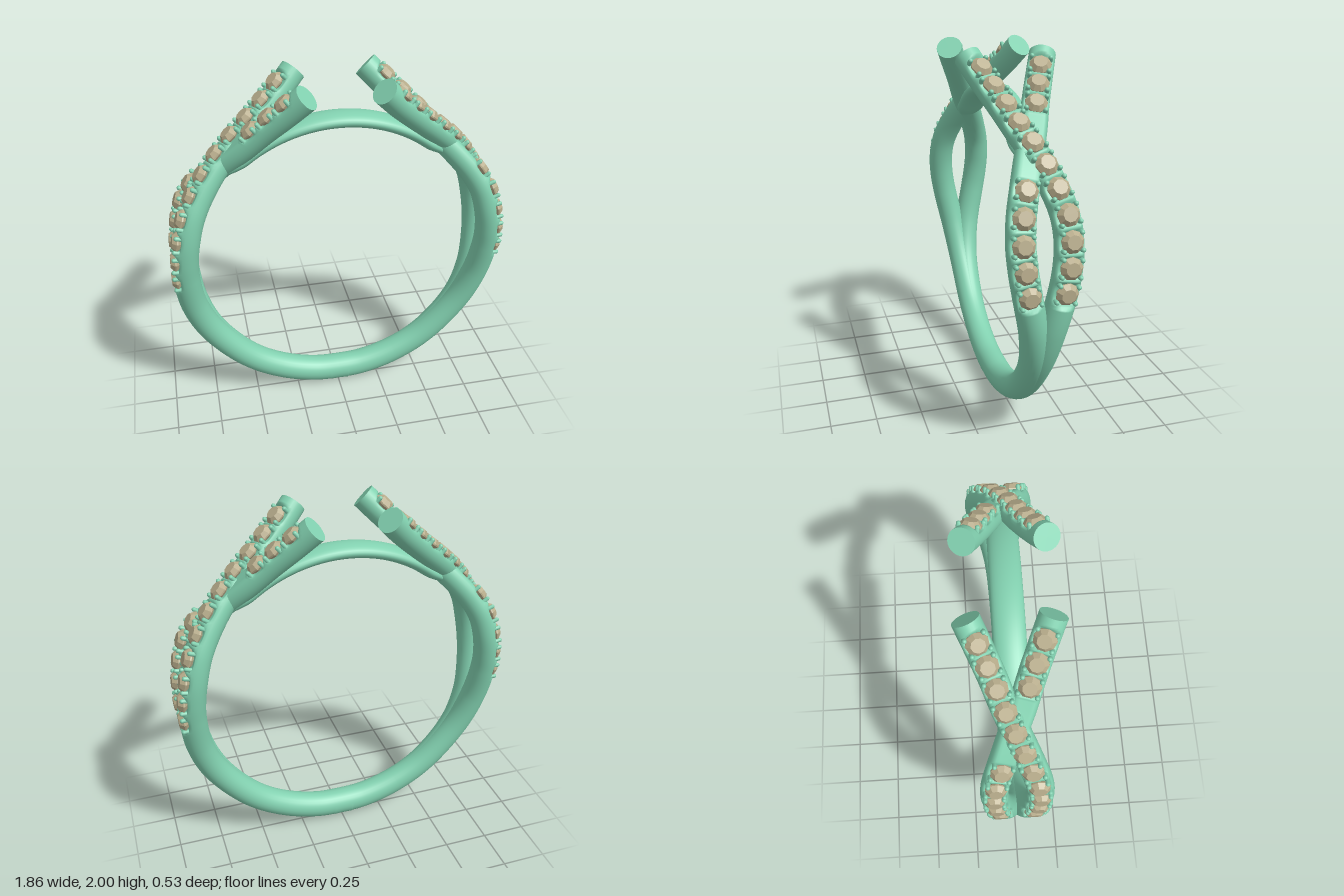
import * as THREE from 'three';

const CENTER_Y = 0.93;
const GEMS = 11;
const metal = new THREE.MeshStandardMaterial({ color: 0x82d1b0, roughness: 0.6 });
const stone = new THREE.MeshStandardMaterial({ color: 0xb8ad8c, roughness: 0.6, flatShading: true });

// Tangent, outward and sideways directions at a point of a curve around the finger
function frameAt(curve, u) {
  const p = curve.getPointAt(u);
  const t = curve.getTangentAt(u);
  const n = new THREE.Vector3(p.x, p.y - CENTER_Y, 0);
  n.addScaledVector(t, -n.dot(t)).normalize();
  const b = new THREE.Vector3().crossVectors(t, n);
  return { p, t, n, b };
}

// Sweep a closed cross-section along a curve; section(u, a) gives [outward, sideways]
function sweep(curve, steps, sides, section) {
  const pos = [], index = [];
  for (let i = 0; i <= steps; i++) {
    const u = i / steps, { p, n, b } = frameAt(curve, u);
    for (let j = 0; j < sides; j++) {
      const [o, s] = section(u, (j / sides) * Math.PI * 2);
      const v = p.clone().addScaledVector(n, o).addScaledVector(b, s);
      pos.push(v.x, v.y, v.z);
      if (i < steps) {
        const k = (j + 1) % sides, r0 = i * sides, r1 = r0 + sides;
        index.push(r0 + j, r0 + k, r1 + k, r0 + j, r1 + k, r1 + j);
      }
    }
  }
  const g = new THREE.BufferGeometry();
  g.setAttribute('position', new THREE.Float32BufferAttribute(pos, 3));
  g.setIndex(index);
  g.computeVertexNormals();
  return g;
}

function addMesh(group, name, geometry, material) {
  const m = new THREE.Mesh(geometry, material);
  m.name = name;
  group.add(m);
  return m;
}

// Centre line of a strand: lower quarter circle, then a wave that crosses over
function strandCurve(side, sink) {
  const pts = [[-94, 0], [-80, 0], [-65, 0], [-50, 0.003], [-30, 0.016], [-15, 0.045], [0, 0.09]].map(([deg, z]) => {
    const a = THREE.MathUtils.degToRad(deg);
    return new THREE.Vector3(0.853 * Math.cos(a), CENTER_Y + 0.853 * Math.sin(a), z * side);
  });
  for (const [x, y, z, dip] of [
    [0.849, 1.06, 0.111, 0], [0.83, 1.18, 0.118, 0], [0.796, 1.3, 0.105, 0],
    [0.745, 1.4, 0.075, 0.3], [0.65, 1.53, 0.022, 1], [0.53, 1.645, -0.04, 1],
    [0.4, 1.755, -0.095, 0.3], [0.285, 1.857, -0.15, 0], [0.192, 1.951, -0.198, 0],
  ]) pts.push(new THREE.Vector3(x - 0.7 * sink * dip, y - 0.7 * sink * dip, z * side));
  return new THREE.CatmullRomCurve3(pts);
}

// Curve parameter where the strand reaches a height
function paramAtHeight(curve, y) {
  let u = 0.2;
  while (u < 1 && curve.getPointAt(u).y < y) u += 0.001;
  return u;
}

// Cut stone: table, crown, girdle and pavilion
const gemGeometry = new THREE.LatheGeometry(
  [[0, -0.005], [0.057, 0.045], [0.057, 0.053], [0.036, 0.077], [0, 0.077]].map(([r, h]) => new THREE.Vector2(r, h)), 9);
const prongGeometry = new THREE.CapsuleGeometry(0.012, 0.04, 4, 8);

function buildStrand(side, sink, hasGem) {
  const group = new THREE.Group();
  const curve = strandCurve(side, sink);
  const first = paramAtHeight(curve, 0.935), last = paramAtHeight(curve, 1.875);
  const pitch = (last - first) / (GEMS - 1);
  const radius = (u) => 0.077 - 0.008 * u;

  // Tube with a scalloped seat under each stone
  addMesh(group, 'strand', sweep(curve, 300, 28, (u, a) => {
    const r = radius(u), k = (u - first) / pitch;
    let cap = r;
    if (k > -0.55 && k < GEMS - 0.45) {
      const off = Math.abs(k - Math.round(k)) * 2;
      cap = hasGem(Math.round(k)) ? 0.03 + 0.03 * off ** 3 : 0.05;
    }
    return [Math.min(r * Math.cos(a), cap), r * Math.sin(a)];
  }), metal);

  // Flat end
  const e = frameAt(curve, 1);
  const end = addMesh(group, 'strandEnd', new THREE.CircleGeometry(radius(1), 28), metal);
  end.applyMatrix4(new THREE.Matrix4().makeBasis(e.n, e.b, e.t).setPosition(e.p));

  // Stones, each with a prong at its four corners
  for (let k = 0; k < GEMS; k++) {
    if (!hasGem(k)) continue;
    const { p, t, n, b } = frameAt(curve, first + k * pitch);
    const seat = new THREE.Group();
    seat.name = 'setting';
    addMesh(seat, 'gem', gemGeometry, stone);
    for (const sx of [-1, 1]) for (const sz of [-1, 1]) {
      addMesh(seat, 'prong', prongGeometry, metal).position.set(sx * 0.047, 0.041, sz * 0.042);
    }
    seat.applyMatrix4(new THREE.Matrix4().makeBasis(b.clone().negate(), n, t).setPosition(p));
    group.add(seat);
  }
  return group;
}

export function createModel() {
  const model = new THREE.Group();
  model.name = 'ring';

  // One half: an unbroken strand and one that passes under it at the crossing
  const half = new THREE.Group();
  half.name = 'leftHalf';
  const over = buildStrand(-1, 0, () => true);
  over.name = 'overStrand';
  const under = buildStrand(1, 0.018, (k) => k < 5 || k > 7);
  under.name = 'underStrand';
  half.add(over, under);

  // The other half is the same, turned half a turn
  const other = half.clone();
  other.name = 'rightHalf';
  other.rotation.y = Math.PI;
  model.add(half, other);

  // Flattened band across the top, tapering into the crossings
  const arc = [];
  for (let d = 37; d <= 143; d += 10.6) {
    const a = THREE.MathUtils.degToRad(d);
    arc.push(new THREE.Vector3(0.814 * Math.cos(a), CENTER_Y + 0.814 * Math.sin(a), 0));
  }
  const bandCurve = new THREE.CatmullRomCurve3(arc);
  addMesh(model, 'topBand', sweep(bandCurve, 72, 28, (u, a) => {
    const s = THREE.MathUtils.smoothstep(Math.min(u, 1 - u), -0.04, 0.15);
    return [0.041 * (s * Math.cos(a) + 1 - s), 0.08 * s * Math.sin(a)];
  }), metal);

  return model;
}
